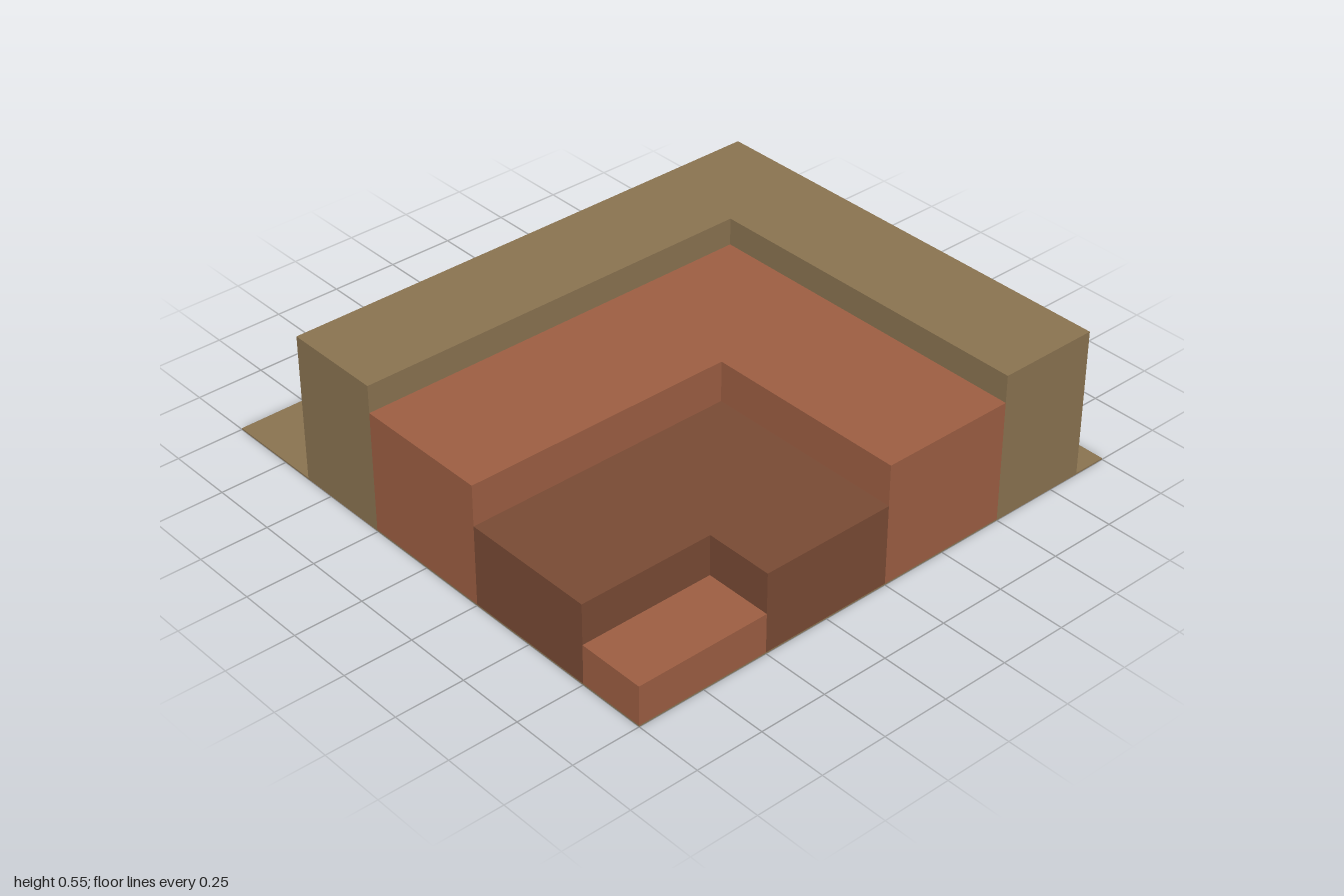
import * as THREE from 'three';

const paint = (name, color) => {
  const material = new THREE.MeshStandardMaterial({ color });
  material.name = name;
  return material;
};

export function createModel() {
  const model = new THREE.Group();
  model.name = 'steppedTerrace';
  const tan = paint('tan', 0x8b7451);
  const terracotta = paint('terracotta', 0x9e5f43);
  const brown = paint('brown', 0x7a4b35);
  const ground = 0.005;

  const add = (name, geometry, material) => {
    const mesh = new THREE.Mesh(geometry, material);
    mesh.name = name;
    model.add(mesh);
  };

  // Thin ground plate
  add('groundPlate', new THREE.BoxGeometry(2, ground, 2).translate(0, ground / 2, 0), tan);

  // Nested tiers: left edge x, back edge z, top height
  const tiers = [
    { name: 'outerTier', x: -0.625, z: -0.875, top: 0.55, material: tan },
    { name: 'upperTier', x: -0.255, z: -0.5, top: 0.45, material: terracotta },
    { name: 'middleTier', x: 0.25, z: 0, top: 0.3, material: brown },
    { name: 'lowestTier', x: 0.75, z: 0.5, top: 0.15, material: terracotta },
  ];

  // Each tier is an L around the next one; the last is a full block
  tiers.forEach(({ name, x, z, top, material }, i) => {
    const inner = tiers[i + 1];
    const outline = inner
      ? [[x, z], [1, z], [1, inner.z], [inner.x, inner.z], [inner.x, 1], [x, 1]]
      : [[x, z], [1, z], [1, 1], [x, 1]];
    const shape = new THREE.Shape(outline.map(([px, pz]) => new THREE.Vector2(px, -pz)));
    const geometry = new THREE.ExtrudeGeometry(shape, { depth: top - ground, bevelEnabled: false });
    geometry.rotateX(-Math.PI / 2).translate(0, ground, 0);
    add(name, geometry, material);
  });

  return model;
}
